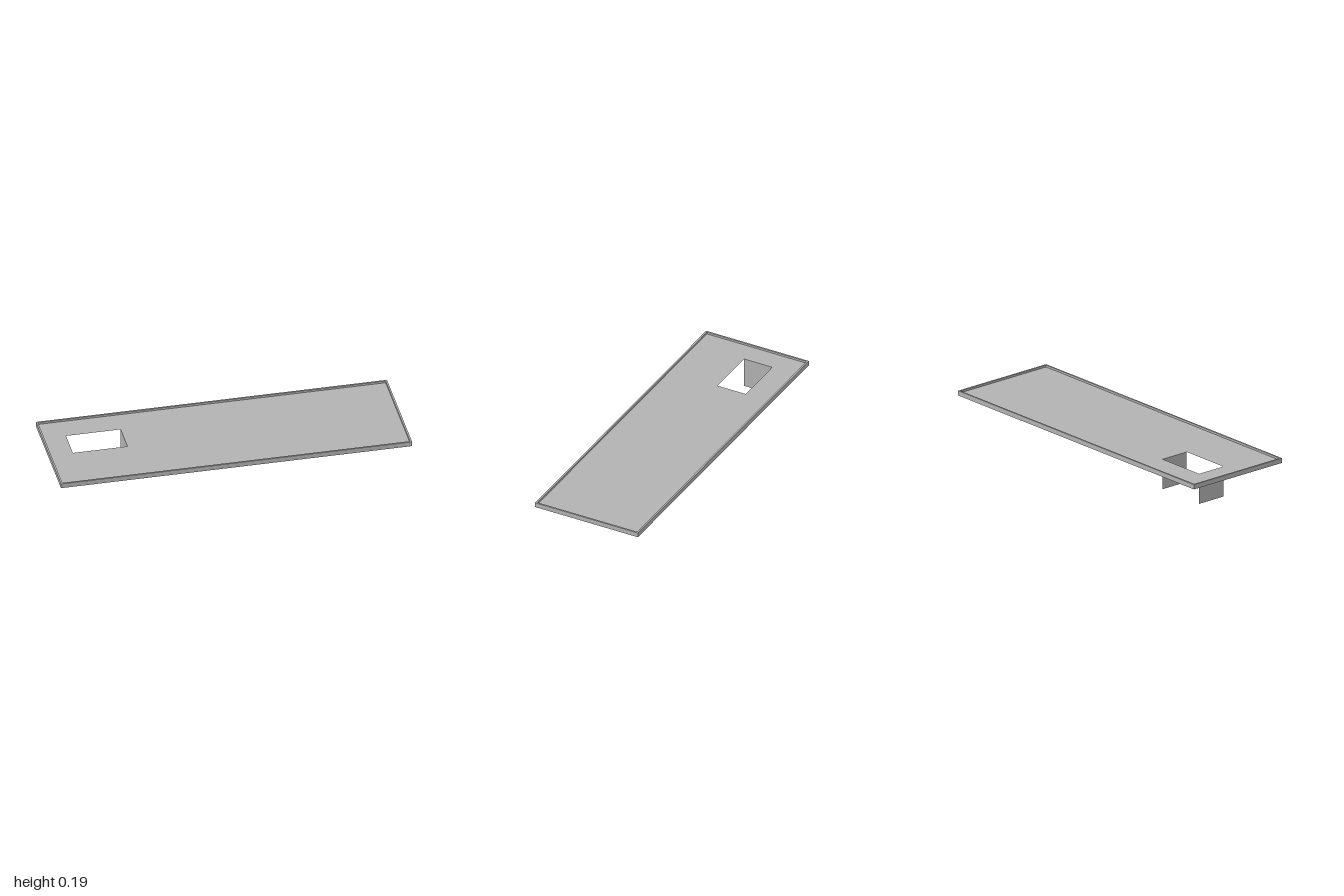
import * as THREE from 'three';

export function createModel() {
  const model = new THREE.Group();
  model.name = 'countertop';
  const grey = new THREE.MeshStandardMaterial({ color: 0xb2b2b2, side: THREE.DoubleSide });
  grey.name = 'light grey';

  const W = 1, D = 0.325;                 // half width and half depth
  const bottom = 0.162, top = 0.19, plateY = 0.178, rimT = 0.01;
  const hole = { x0: -0.863, x1: -0.552, z0: -0.167, z1: 0.011 };

  const add = (name, geometry) => {
    const mesh = new THREE.Mesh(geometry, grey);
    mesh.name = name;
    model.add(mesh);
    return mesh;
  };

  // Rectangle in plan; the shape's y is -z once laid flat
  const rect = (Type, x0, x1, z0, z1) => new Type([
    new THREE.Vector2(x0, -z1), new THREE.Vector2(x1, -z1),
    new THREE.Vector2(x1, -z0), new THREE.Vector2(x0, -z0),
  ]);

  // Raised rim, standing above and below the sheet
  const rim = rect(THREE.Shape, -W, W, -D, D);
  rim.holes.push(rect(THREE.Path, -W + rimT, W - rimT, -D + rimT, D - rimT));
  const rimGeometry = new THREE.ExtrudeGeometry(rim, { depth: top - bottom, bevelEnabled: false });
  add('rim', rimGeometry.rotateX(-Math.PI / 2).translate(0, bottom, 0));

  // Thin top sheet with the basin opening
  const sheet = rect(THREE.Shape, -W + rimT, W - rimT, -D + rimT, D - rimT);
  sheet.holes.push(rect(THREE.Path, hole.x0, hole.x1, hole.z0, hole.z1));
  add('topSheet', new THREE.ShapeGeometry(sheet).rotateX(-Math.PI / 2).translate(0, plateY, 0));

  // Two hanging basin walls, at the short sides of the opening
  for (const [name, x] of [['basinWallRight', hole.x0], ['basinWallLeft', hole.x1]]) {
    const wall = new THREE.PlaneGeometry(hole.z1 - hole.z0, plateY).rotateY(Math.PI / 2);
    add(name, wall).position.set(x, plateY / 2, (hole.z0 + hole.z1) / 2);
  }
  return model;
}
